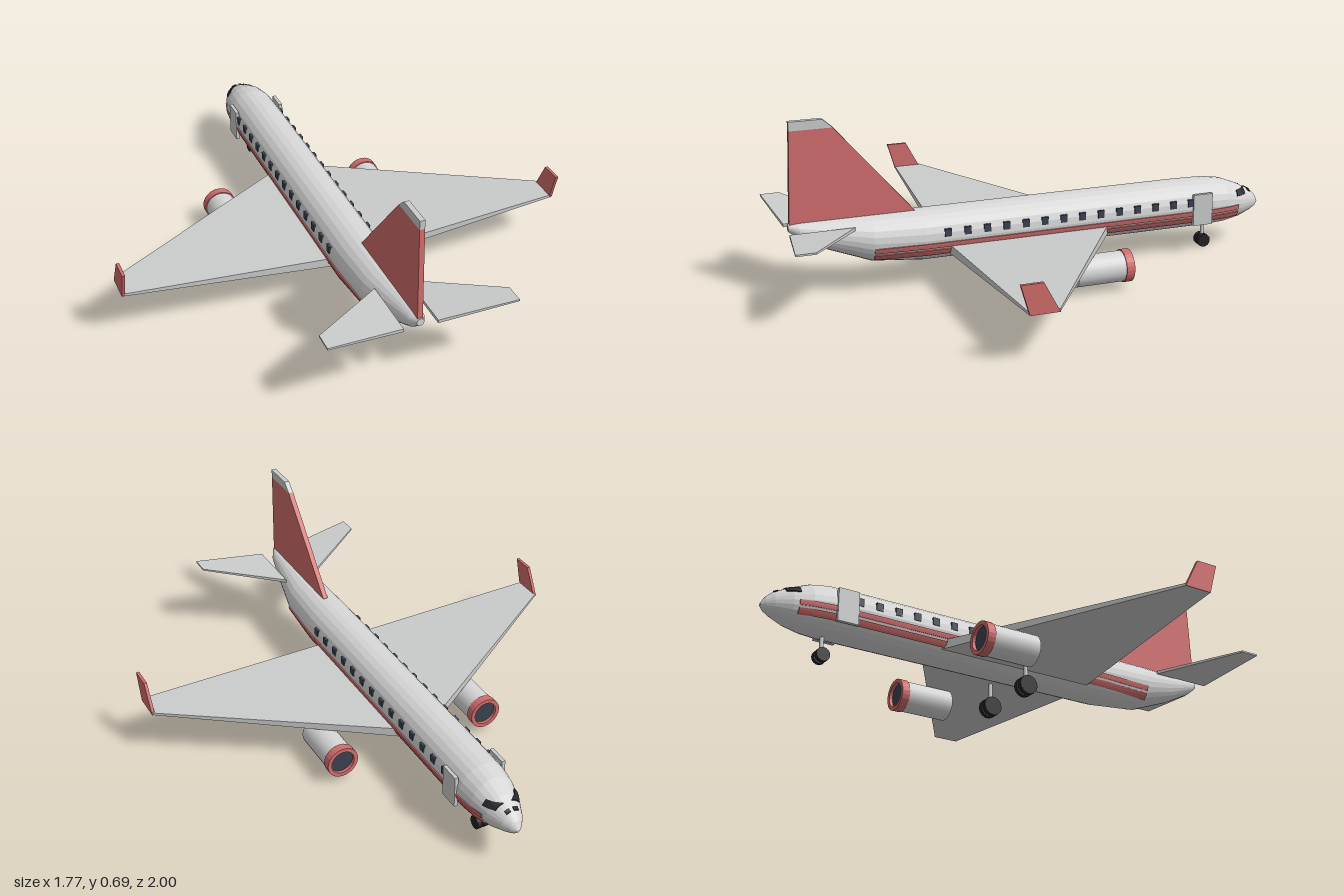
import * as THREE from 'three';

const paint = (name, color) => {
  const m = new THREE.MeshStandardMaterial({ color });
  m.name = name;
  return m;
};

// Fuselage stations: z, top y, bottom y, half width (nose at -z)
const STATIONS = [
  [-1, 0.175, 0.163, 0.006], [-0.985, 0.202, 0.148, 0.024], [-0.96, 0.225, 0.136, 0.043],
  [-0.9, 0.257, 0.115, 0.071], [-0.83, 0.285, 0.102, 0.09], [-0.76, 0.297, 0.098, 0.099],
  [-0.62, 0.3, 0.098, 0.1], [0.45, 0.3, 0.098, 0.1], [0.65, 0.3, 0.118, 0.09],
  [0.81, 0.3, 0.18, 0.057], [0.92, 0.3, 0.236, 0.034], [0.96, 0.298, 0.268, 0.014],
];

function stationAt(z) {
  let i = 0;
  while (i < STATIONS.length - 2 && STATIONS[i + 1][0] < z) i++;
  const a = STATIONS[i], b = STATIONS[i + 1], t = (z - a[0]) / (b[0] - a[0]);
  const [top, bottom, rx] = [1, 2, 3].map(k => a[k] + (b[k] - a[k]) * t);
  return { cy: (top + bottom) / 2, ry: (top - bottom) / 2, rx };
}

// Point on the fuselage skin, pushed outward by off
function skin(z, angle, off = 0) {
  const { cy, rx, ry } = stationAt(z);
  return [(rx + off) * Math.cos(angle), cy + (ry + off) * Math.sin(angle), z];
}

function angleAtHeight(z, y) {
  const { cy, ry } = stationAt(z);
  return Math.asin(THREE.MathUtils.clamp((y - cy) / ry, -1, 1));
}

// Closed, flat-faced solid through equal-length loops of points
function loft(loops, side = 1) {
  const tris = [], n = loops[0].length, last = loops.length - 1;
  for (let i = 0; i < last; i++) {
    for (let j = 0; j < n; j++) {
      const k = (j + 1) % n;
      const [a, b, c, d] = [loops[i][j], loops[i][k], loops[i + 1][k], loops[i + 1][j]];
      tris.push([a, b, c], [a, c, d]);
    }
  }
  for (let j = 1; j < n - 1; j++) {
    tris.push([loops[0][0], loops[0][j + 1], loops[0][j]]);
    tris.push([loops[last][0], loops[last][j], loops[last][j + 1]]);
  }
  const faces = tris.map(t => t.map(p => new THREE.Vector3(p[0] * side, p[1], p[2])));
  // Turn the faces outward
  const origin = faces[0][0].clone();
  const volume = faces.reduce((sum, [a, b, c]) => sum + a.clone().sub(origin)
    .dot(b.clone().sub(origin).cross(c.clone().sub(origin))), 0);
  if (volume < 0) faces.forEach(f => f.reverse());
  const g = new THREE.BufferGeometry().setFromPoints(faces.flat());
  g.computeVertexNormals();
  return g;
}

// Thin painted band hugging the skin between two angles given as functions of z
function skinBand(side, z0, z1, low, high) {
  const zs = [z0, ...STATIONS.map(s => s[0]).filter(z => z > z0 && z < z1), z1];
  const steps = [0, 0.33, 0.67, 1];
  return loft(zs.map(z => {
    const angles = steps.map(t => low(z) + (high(z) - low(z)) * t);
    return [...angles.map(a => skin(z, a, 0.004)),
      ...angles.reverse().map(a => skin(z, a, -0.003))];
  }), side);
}

// Four-cornered lifting-surface section: x, leading z, trailing z, bottom y, top y
const slab = (x, zl, zt, y0, y1) => [[x, y0, zl], [x, y0, zt], [x, y1, zt], [x, y1, zl]];

export function createModel() {
  const model = new THREE.Group();
  const body = paint('body light grey', 0xd6d6d6);
  const wingGrey = paint('wing grey', 0xcacbcb);
  const red = paint('trim red', 0xd06c6c);
  const glass = paint('window slate', 0x3a4250);
  const dark = paint('cockpit glass', 0x25272c);
  const tyre = paint('tyre black', 0x222222);

  const add = (name, geometry, material, x = 0, y = 0, z = 0, parent = model) => {
    const mesh = new THREE.Mesh(geometry, material);
    mesh.name = name;
    mesh.position.set(x, y, z);
    parent.add(mesh);
    return mesh;
  };

  // Fuselage
  const N = 24;
  add('fuselage', loft(STATIONS.map(([z]) =>
    Array.from({ length: N }, (_, j) => skin(z, (j / N) * Math.PI * 2)))), body);

  // Vertical fin with a grey cap
  const finLoop = (y, zl, zt) =>
    [[-0.01, y, zl], [0.01, y, zl], [0.01, y, zt], [-0.01, y, zt]];
  add('fin', loft([finLoop(0.28, 0.47, 0.955), finLoop(0.302, 0.475, 0.955),
    finLoop(0.655, 0.775, 0.94)]), red);
  add('finCap', loft([finLoop(0.655, 0.775, 0.94), finLoop(0.69, 0.813, 0.94)]), wingGrey);

  const windowBox = new THREE.BoxGeometry(0.01, 0.03, 0.027);
  const barrel = new THREE.CylinderGeometry(0.06, 0.06, 0.205, 24).rotateX(Math.PI / 2);
  // Open lip: outer wall, front face, inner wall
  const lip = new THREE.LatheGeometry([[0.058, 0], [0.064, 0], [0.064, 0.033], [0.048, 0.033],
    [0.048, 0.018]].map(p => new THREE.Vector2(...p)), 24)
    .toNonIndexed().rotateX(-Math.PI / 2);
  lip.computeVertexNormals();
  const fan = new THREE.CircleGeometry(0.05, 24).rotateY(Math.PI);

  // Pair of wheels on a strut
  const landingGear = (name, x, z, r, width, gap, top) => {
    const gear = new THREE.Group();
    gear.name = name;
    gear.position.set(x, 0, z);
    model.add(gear);
    const h = top - r;
    add('strut', new THREE.CylinderGeometry(0.008, 0.008, h, 10), body, 0, r + h / 2, 0, gear);
    add('axle', new THREE.CylinderGeometry(0.006, 0.006, gap * 2, 8).rotateZ(Math.PI / 2),
      body, 0, r, 0, gear);
    for (const s of [-1, 1]) {
      add('wheel', new THREE.CylinderGeometry(r, r, width, 14).rotateZ(Math.PI / 2),
        tyre, s * gap, r, 0, gear);
    }
  };
  landingGear('noseGear', 0, -0.755, 0.027, 0.018, 0.0135, 0.12);

  for (const s of [-1, 1]) {
    // Wing and upright tip
    add('wing', loft([slab(0.06, -0.31, 0.357, 0.131, 0.168),
      slab(0.88, 0.21, 0.32, 0.19, 0.2)], s), wingGrey);
    add('winglet', loft([
      [[0.872, 0.19, 0.21], [0.884, 0.19, 0.21], [0.884, 0.19, 0.32], [0.872, 0.19, 0.32]],
      [[0.872, 0.303, 0.27], [0.884, 0.303, 0.27], [0.884, 0.303, 0.353], [0.872, 0.303, 0.353]],
    ], s), red);

    // Tailplane
    add('tailplane', loft([slab(0.065, 0.718, 0.965, 0.264, 0.277),
      slab(0.36, 0.925, 1, 0.3, 0.307)], s), wingGrey);

    // Engine
    const engine = new THREE.Group();
    engine.name = 'engine';
    engine.position.set(s * 0.318, 0.089, 0);
    model.add(engine);
    add('nacelle', barrel, body, 0, 0, -0.1625, engine);
    add('intakeLip', lip, red, 0, 0, -0.253, engine);
    add('intakeFan', fan, glass, 0, 0, -0.272, engine);

    landingGear('mainGear', s * 0.128, 0.035, 0.038, 0.019, 0.0135, 0.15);

    // Cabin windows and door
    for (let i = 0; i < 14; i++) {
      add('cabinWindow', windowBox, glass, s * 0.096, 0.225, 0.367 - i * 0.0785);
    }
    add('door', new THREE.BoxGeometry(0.014, 0.13, 0.083), wingGrey, s * 0.099, 0.195, -0.703);

    // Side stripes
    for (const [y0, y1] of [[0.169, 0.188], [0.138, 0.16]]) {
      add('stripe', skinBand(s, -0.88, 0.65,
        z => angleAtHeight(z, y0), z => angleAtHeight(z, y1)), red);
    }

    // Cockpit glazing
    add('cockpitSideWindow', skinBand(s, -0.922, -0.875,
      z => angleAtHeight(z, 0.221), z => angleAtHeight(z, 0.243)), dark);
    add('windscreen', skinBand(s, -0.957, -0.945, () => 1.0, () => 1.42), dark);
  }
  return model;
}
